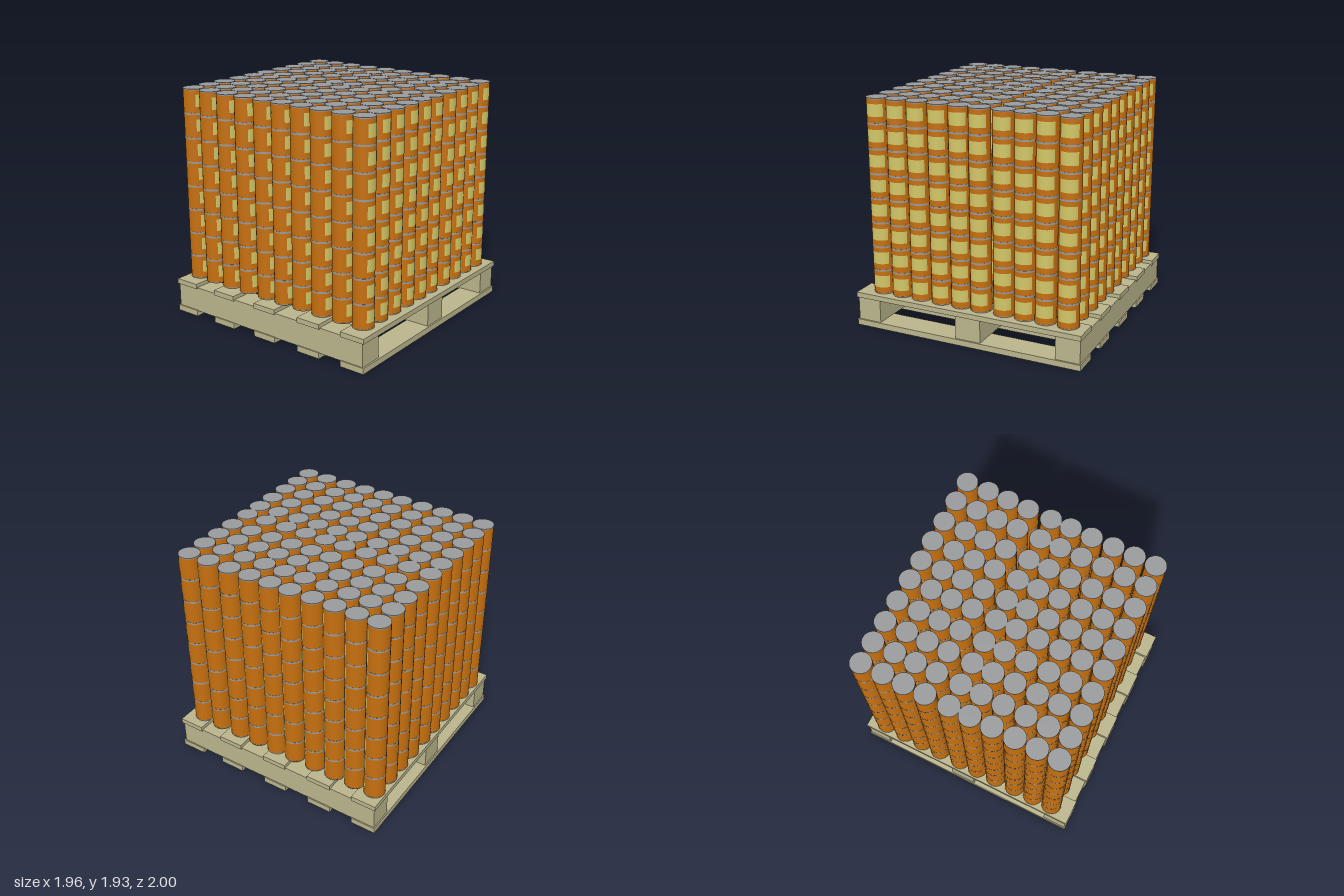
import * as THREE from 'three';
import { mergeGeometries } from 'three/addons/utils/BufferGeometryUtils.js';

const RADIUS = 0.087, BASE = 0.29, LAYERS = 8, PITCH = 0.205, RIM = 0.016;
const COLUMN_X = [-0.88, -0.695, -0.507, -0.315, -0.117, 0.065, 0.254, 0.446, 0.648, 0.84];
const COLUMN_Z = [-0.84, -0.652, -0.475, -0.295, -0.093, 0.08, 0.262, 0.449, 0.63, 0.81];

const paint = (color) => new THREE.MeshStandardMaterial({ color });

// Vertical cylinder (or an arc of one) spanning y0..y1
function drum(r, y0, y1, segments, open, start = 0, sweep = Math.PI * 2) {
  return new THREE.CylinderGeometry(r, r, y1 - y0, segments, 1, open, start, sweep)
    .translate(0, (y0 + y1) / 2, 0);
}

function box(name, material, [x0, x1], [y0, y1], [z0, z1]) {
  const mesh = new THREE.Mesh(new THREE.BoxGeometry(x1 - x0, y1 - y0, z1 - z0), material);
  mesh.name = name;
  mesh.position.set((x0 + x1) / 2, (y0 + y1) / 2, (z0 + z1) / 2);
  return mesh;
}

function createPallet() {
  const pallet = new THREE.Group();
  pallet.name = 'pallet';
  const wood = paint(0xbab58c);
  const boards = [[-0.98, -0.76], [-0.555, -0.335], [-0.113, 0.105], [0.337, 0.556], [0.76, 0.98]];
  for (const span of boards) {
    pallet.add(box('deckBoard', wood, span, [0.247, BASE], [-1, 1]));
    pallet.add(box('bottomBoard', wood, span, [0, 0.05], [-1, 1]));
  }
  // Solid cross bearers between the two layers of boards
  for (const span of [[-0.99, -0.785], [-0.14, 0.08], [0.785, 0.99]]) {
    pallet.add(box('bearer', wood, [-0.97, 0.966], [0.045, 0.258], span));
  }
  return pallet;
}

function createCans() {
  const cans = new THREE.Group();
  cans.name = 'cans';
  const bodies = [], rims = [], labels = [];
  const deg = THREE.MathUtils.degToRad;
  const top = BASE + LAYERS * PITCH;

  // One stack of cans, reused for every column
  for (let i = 0; i < LAYERS; i++) {
    const y = BASE + i * PITCH;
    bodies.push(drum(RADIUS, y, y + PITCH, 24, true));
    labels.push(drum(RADIUS + 0.0012, y + 0.058, y + 0.159, 7, true, deg(53), deg(98)));
  }
  for (let i = 0; i <= LAYERS; i++) {
    const y = BASE + i * PITCH;
    rims.push(drum(RADIUS + 0.001, Math.max(BASE + 0.0005, y - RIM / 2), Math.min(top + 0.001, y + RIM / 2), 24, false));
  }
  const parts = [
    ['canBodies', mergeGeometries(bodies), paint(0xc6700f)],
    ['canRims', mergeGeometries(rims), paint(0x999a9c)],
    ['canLabels', mergeGeometries(labels), paint(0xd2c768)],
  ];

  for (const x of COLUMN_X) {
    for (const z of COLUMN_Z) {
      const stack = new THREE.Group();
      stack.name = 'canStack';
      stack.position.set(x, 0, z);
      for (const [name, geometry, material] of parts) {
        const mesh = new THREE.Mesh(geometry, material);
        mesh.name = name;
        stack.add(mesh);
      }
      cans.add(stack);
    }
  }
  return cans;
}

export function createModel() {
  const model = new THREE.Group();
  model.name = 'palletOfCans';
  model.add(createPallet(), createCans());
  return model;
}
